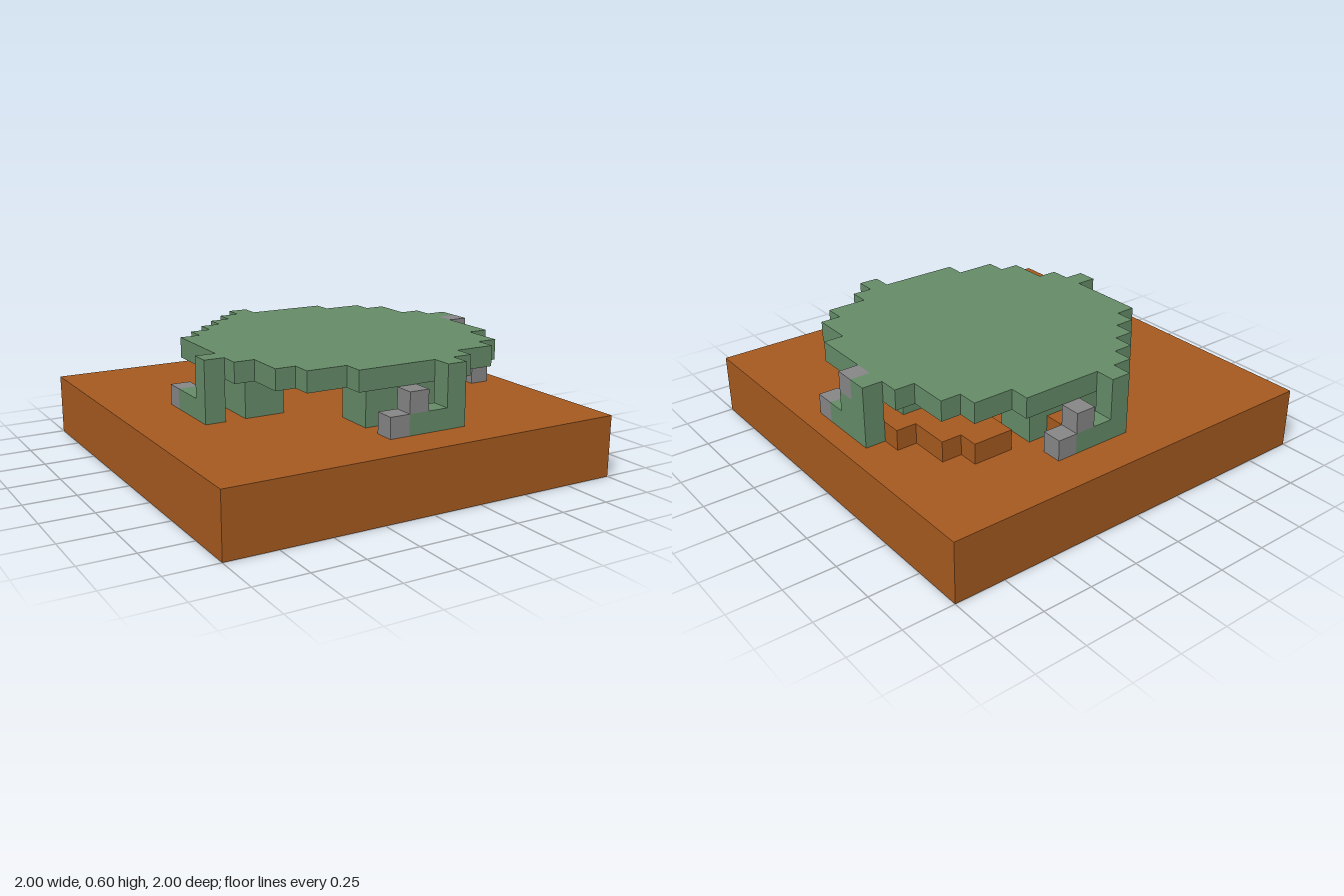
import * as THREE from 'three';

export function createModel() {
  const model = new THREE.Group();
  const mat = (name, color) => {
    const m = new THREE.MeshStandardMaterial({ color });
    m.name = name;
    return m;
  };
  const soil = mat('brown soil', 0xa85b20);
  const green = mat('mossy green', 0x668d69);
  const gray = mat('stone gray', 0x888888);

  // Axis-aligned block given by its x, y and z ranges
  const block = (parent, name, material, [x0, x1], [y0, y1], [z0, z1]) => {
    const mesh = new THREE.Mesh(new THREE.BoxGeometry(x1 - x0, y1 - y0, z1 - z0), material);
    mesh.position.set((x0 + x1) / 2, (y0 + y1) / 2, (z0 + z1) / 2);
    mesh.name = name;
    parent.add(mesh);
  };

  // Stepped slab from rows of [zStart, zEnd, xMin, xMax], extruded upward
  const slab = (name, material, rows, y, height) => {
    const right = rows.flatMap(([z0, z1, , x]) => [[x, -z0], [x, -z1]]);
    const left = rows.flatMap(([z0, z1, x]) => [[x, -z0], [x, -z1]]).reverse();
    const shape = new THREE.Shape([...right, ...left].map(([x, v]) => new THREE.Vector2(x, v)));
    const geo = new THREE.ExtrudeGeometry(shape, { depth: height, bevelEnabled: false });
    geo.rotateX(-Math.PI / 2);
    const mesh = new THREE.Mesh(geo, material);
    mesh.position.y = y;
    mesh.name = name;
    model.add(mesh);
  };

  // Ground
  block(model, 'ground', soil, [-1, 1], [0, 0.3], [-1, 1]);

  // Round stepped roof
  slab('roof', green, [
    [-0.7, -0.6, -0.2, 0.4],
    [-0.6, -0.5, -0.3, 0.6],
    [-0.5, -0.4, -0.4, 0.7],
    [-0.4, -0.3, -0.5, 0.7],
    [-0.3, 0.3, -0.6, 0.8],
    [0.3, 0.5, -0.5, 0.7],
    [0.5, 0.6, -0.4, 0.6],
    [0.6, 0.7, -0.2, 0.4],
  ], 0.5, 0.1);

  // Soil mound under the roof
  slab('mound', soil, [
    [-0.6, -0.5, 0.4, 0.6],
    [-0.5, -0.3, 0.4, 0.7],
    [-0.3, 0.1, 0.4, 0.8],
    [0.1, 0.2, 0.4, 0.7],
    [0.2, 0.3, 0.5, 0.6],
  ], 0.3, 0.1);
  block(model, 'smallMound', soil, [0, 0.2], [0.3, 0.4], [-0.7, -0.6]);

  // Four inner supports
  for (const s of [-1, 1]) {
    const cx = 0.1 + s * 0.5, cz = s * 0.5;
    block(model, 'sideSupport', green, [cx - 0.1, cx + 0.1], [0.3, 0.5], [-0.2, 0.2]);
    block(model, 'endSupport', green, [-0.1, 0.3], [0.3, 0.5], [cz - 0.1, cz + 0.1]);
  }

  // Front and back legs: pillar, low foot, stone steps; one is the other turned half round
  for (const turn of [0, Math.PI]) {
    const leg = new THREE.Group();
    leg.name = turn ? 'backLeg' : 'frontLeg';
    const z = [0.7, 0.8];
    block(leg, 'pillar', green, [0.1, 0.2], [0.3, 0.6], z);
    block(leg, 'foot', green, [-0.1, 0.1], [0.3, 0.4], z);
    block(leg, 'upperStone', gray, [-0.1, 0], [0.4, 0.5], z);
    block(leg, 'lowerStone', gray, [-0.2, -0.1], [0.3, 0.4], z);
    leg.position.x = 0.1;
    leg.rotation.y = turn;
    model.add(leg);
  }

  // Left leg
  const leftLeg = new THREE.Group();
  leftLeg.name = 'leftLeg';
  const lx = [0.8, 0.9];
  block(leftLeg, 'pillar', green, lx, [0.3, 0.6], [-0.2, -0.1]);
  block(leftLeg, 'brace', green, lx, [0.3, 0.5], [-0.1, 0]);
  block(leftLeg, 'upperStone', gray, lx, [0.5, 0.6], [-0.1, 0]);
  block(leftLeg, 'foot', green, lx, [0.3, 0.4], [0, 0.1]);
  block(leftLeg, 'lowerStone', gray, lx, [0.3, 0.4], [0.1, 0.2]);
  model.add(leftLeg);

  // Right leg
  const rightLeg = new THREE.Group();
  rightLeg.name = 'rightLeg';
  const rx = [-0.7, -0.6];
  block(rightLeg, 'pillar', green, rx, [0.3, 0.6], [0.1, 0.2]);
  block(rightLeg, 'foot', green, rx, [0.3, 0.4], [-0.1, 0.1]);
  block(rightLeg, 'lowerStone', gray, rx, [0.3, 0.4], [-0.2, -0.1]);
  model.add(rightLeg);

  return model;
}
